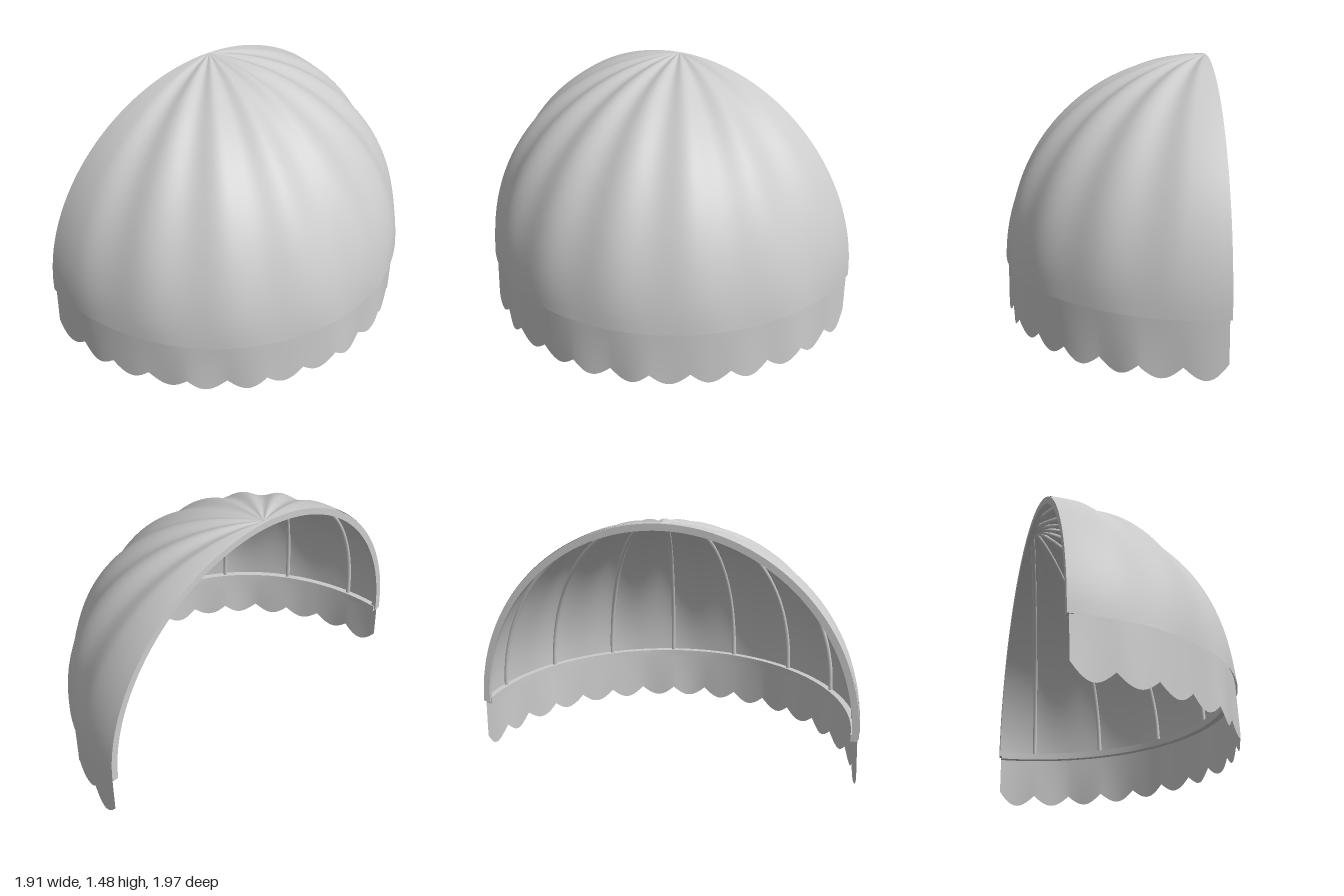
import * as THREE from 'three';
import { toCreasedNormals } from 'three/addons/utils/BufferGeometryUtils.js';

const A = 1.12, B = 1.17;        // half width along the wall, depth away from it
const BASE = 0.33, RISE = 1.15;  // hem height and dome height
const PANEL = Math.PI / 8;       // angle between ribs
const HALF = Math.PI / 2;

const material = new THREE.MeshStandardMaterial({ color: 0xcccccc, side: THREE.DoubleSide });

// Point on the dome: t sweeps round from end to end, e rises from hem to crown
function domePoint(t, e, scale = 1) {
  const r = Math.cos(e) * scale;
  return new THREE.Vector3(A * r * Math.sin(t), BASE + RISE * scale * Math.sin(e), B * r * Math.cos(t));
}

// Grid surface from a rule f(u, v), u and v in 0..1
function surface(f, nu, nv) {
  const pos = [], idx = [];
  for (let j = 0; j <= nv; j++)
    for (let i = 0; i <= nu; i++) pos.push(...f(i / nu, j / nv).toArray());
  for (let j = 0; j < nv; j++)
    for (let i = 0; i < nu; i++) {
      const a = j * (nu + 1) + i, b = a + 1, c = a + nu + 1, d = c + 1;
      if (j < nv) idx.push(a, b, d, a, d, c);
    }
  const g = new THREE.BufferGeometry();
  g.setAttribute('position', new THREE.Float32BufferAttribute(pos, 3));
  g.setIndex(idx);
  g.computeVertexNormals();
  return g;
}

// Square bar with closed ends: corner(t, s, w) places a section corner
function squareBar(corner, n) {
  const signs = [[-1, -1], [1, -1], [1, 1], [-1, 1], [-1, -1]];
  const g = surface((u, v) => {
    const i = Math.round(u * (n + 2));
    const k = THREE.MathUtils.clamp(i - 1, 0, n) / n;
    const open = i === 0 || i === n + 2 ? 0 : 1;
    const [s, w] = signs[Math.round(v * 4)];
    return corner(k, s * open, w * open);
  }, n + 2, 4);
  return toCreasedNormals(g, 0.6);
}

export function createModel() {
  const awning = new THREE.Group();
  awning.name = 'domeAwning';
  const add = (name, geometry) => {
    const mesh = new THREE.Mesh(geometry, material);
    mesh.name = name;
    awning.add(mesh);
  };

  // Fabric dome, sagging slightly between the ribs
  add('canopy', surface((u, v) => {
    const t = (u * 2 - 1) * HALF, e = v * HALF;
    const inside = Math.abs(t) < 3.5 * PANEL ? 1 : 0;
    const between = Math.cos(Math.PI * t / PANEL) ** 2;
    const sag = 0.022 * inside * between * Math.sin(2 * e) ** 0.8;
    return domePoint(t, e, 1 - (e > 0 && e < HALF ? sag : 0));
  }, 128, 32));

  // Hanging valance with a scalloped edge and soft folds
  add('valance', surface((u, v) => {
    const t = (u * 2 - 1) * HALF;
    const scallop = Math.abs(Math.sin(t * 16 / 2 * 2));
    const endLift = 0.03 * Math.abs(t / HALF) ** 12;
    const low = 0.005 + 0.06 * (1 - scallop) + endLift * (1 - scallop);
    const fold = 0.99 + 0.005 * v * Math.cos(t * 16) + 0.003 * v * Math.sin(t * 23);
    return new THREE.Vector3(A * fold * Math.sin(t), THREE.MathUtils.lerp(BASE, low, v), B * fold * Math.cos(t));
  }, 256, 6));

  // Bent hem bar round the front
  add('hemBar', squareBar((k, s, w) => {
    const t = (k * 2 - 1) * HALF, r = 0.972 + 0.016 * s;
    return new THREE.Vector3(A * r * Math.sin(t), BASE + 0.002 + 0.02 * w, B * r * Math.cos(t));
  }, 72));

  // Arch against the wall
  add('wallArch', squareBar((k, s, w) => {
    const a = k * Math.PI, r = 0.98 + 0.017 * s;
    return new THREE.Vector3(A * r * Math.cos(a), BASE + RISE * r * Math.sin(a), 0.004 + 0.016 * w);
  }, 64));

  // Curved ribs from the hem to the crown
  for (let i = 0; i < 8; i++) {
    const t = (i - 3.5) * PANEL, points = [];
    for (let j = 0; j <= 12; j++) points.push(domePoint(t, j / 12 * HALF, 0.978));
    add('rib' + (i + 1), new THREE.TubeGeometry(new THREE.CatmullRomCurve3(points), 32, 0.013, 8));
  }

  // Turn the awning so its open side faces back and to one side
  awning.rotation.y = 0.827;
  awning.position.set(-0.2, 0, -0.165);
  const model = new THREE.Group();
  model.name = 'awning';
  model.add(awning);
  return model;
}
